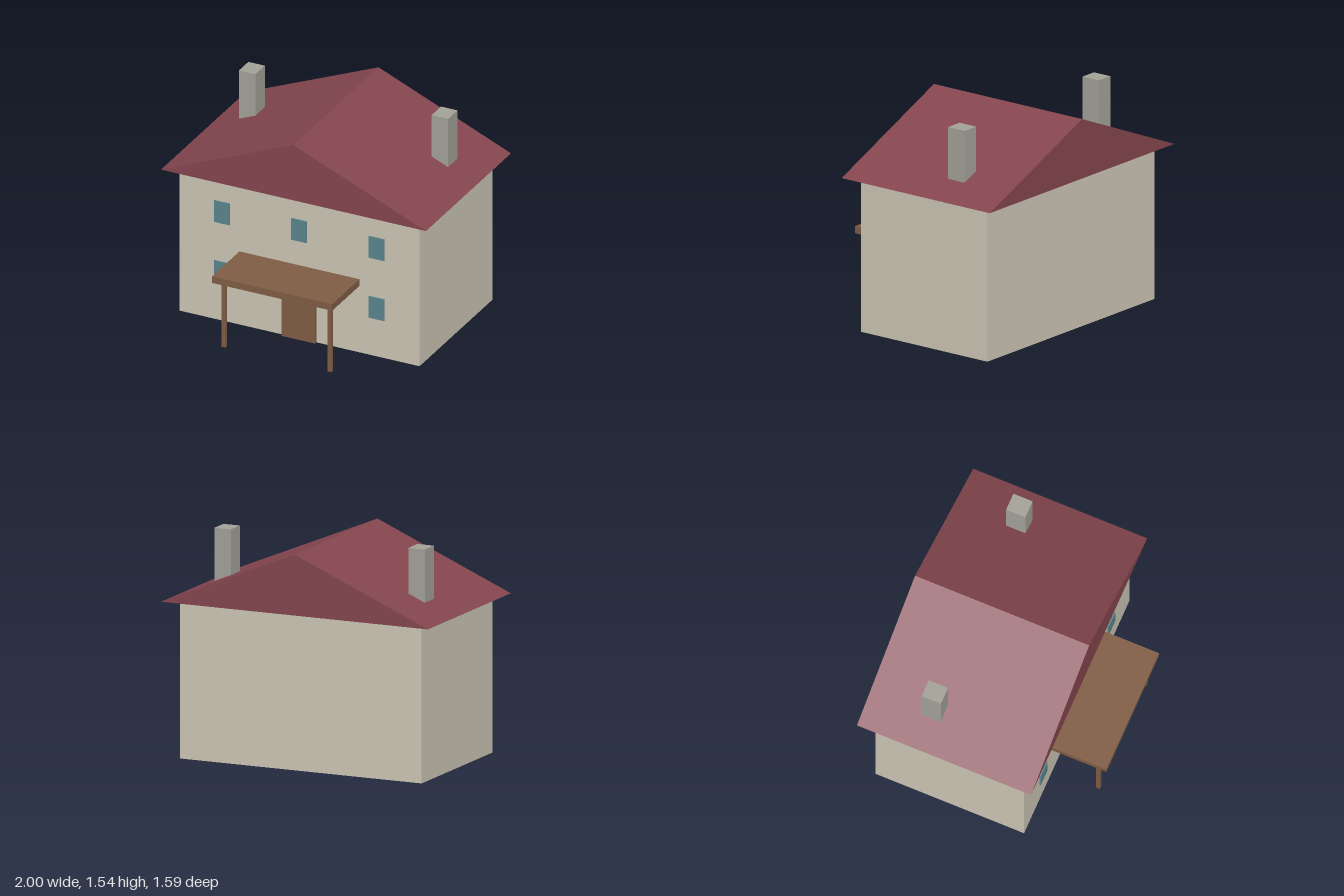
import * as THREE from 'three';

const paint = (name, color) => {
  const m = new THREE.MeshStandardMaterial({ color });
  m.name = name;
  return m;
};

export function createModel() {
  const house = new THREE.Group();
  house.name = 'house';

  const plaster = paint('cream plaster', 0xcac4b3);
  const tiles = paint('red roof tiles', 0x84454e);
  const stone = paint('grey stone', 0xa1a197);
  const wood = paint('brown wood', 0x7f5c44);
  const glass = paint('blue glass', 0x5a848c);

  // Box given by its extents along x, y and z
  const box = (name, material, [x0, x1], [y0, y1], [z0, z1], parent = house) => {
    const mesh = new THREE.Mesh(new THREE.BoxGeometry(x1 - x0, y1 - y0, z1 - z0), material);
    mesh.position.set((x0 + x1) / 2, (y0 + y1) / 2, (z0 + z1) / 2);
    mesh.name = name;
    parent.add(mesh);
    return mesh;
  };

  // Main block
  const wallFront = 0.387;
  box('walls', plaster, [-0.906, 0.906], [0, 1.09], [-0.702, wallFront]);

  // Gabled roof with overhanging eaves
  const gable = new THREE.Shape([
    new THREE.Vector2(-1, 1.09),
    new THREE.Vector2(1, 1.09),
    new THREE.Vector2(0, 1.51),
  ]);
  const roof = new THREE.Mesh(
    new THREE.ExtrudeGeometry(gable, { depth: 1.275, bevelEnabled: false }),
    tiles,
  );
  roof.position.z = -0.797;
  roof.name = 'roof';
  house.add(roof);

  // Chimneys, sunk into the roof slopes
  for (const [side, x] of [['right', -0.727], ['left', 0.727]]) {
    box(`${side}Chimney`, stone, [x - 0.062, x + 0.062], [1.12, 1.545], [-0.413, -0.272]);
  }

  // Two rows of three windows
  const windows = new THREE.Group();
  windows.name = 'windows';
  house.add(windows);
  for (const y of [0.285, 0.74]) {
    for (const x of [-0.583, 0, 0.583]) {
      box('window', glass, [x - 0.058, x + 0.058], [y, y + 0.162], [wallFront, wallFront + 0.0098], windows);
    }
  }

  // Front door
  box('door', wood, [-0.127, 0.127], [0, 0.402], [wallFront, 0.408]);

  // Porch: flat canopy on two posts
  const porch = new THREE.Group();
  porch.name = 'porch';
  house.add(porch);
  box('canopy', wood, [-0.453, 0.453], [0.505, 0.555], [wallFront, 0.797], porch);
  for (const x of [-0.4, 0.4]) {
    box('post', wood, [x - 0.014, x + 0.014], [0, 0.505], [0.704, 0.732], porch);
  }

  return house;
}
